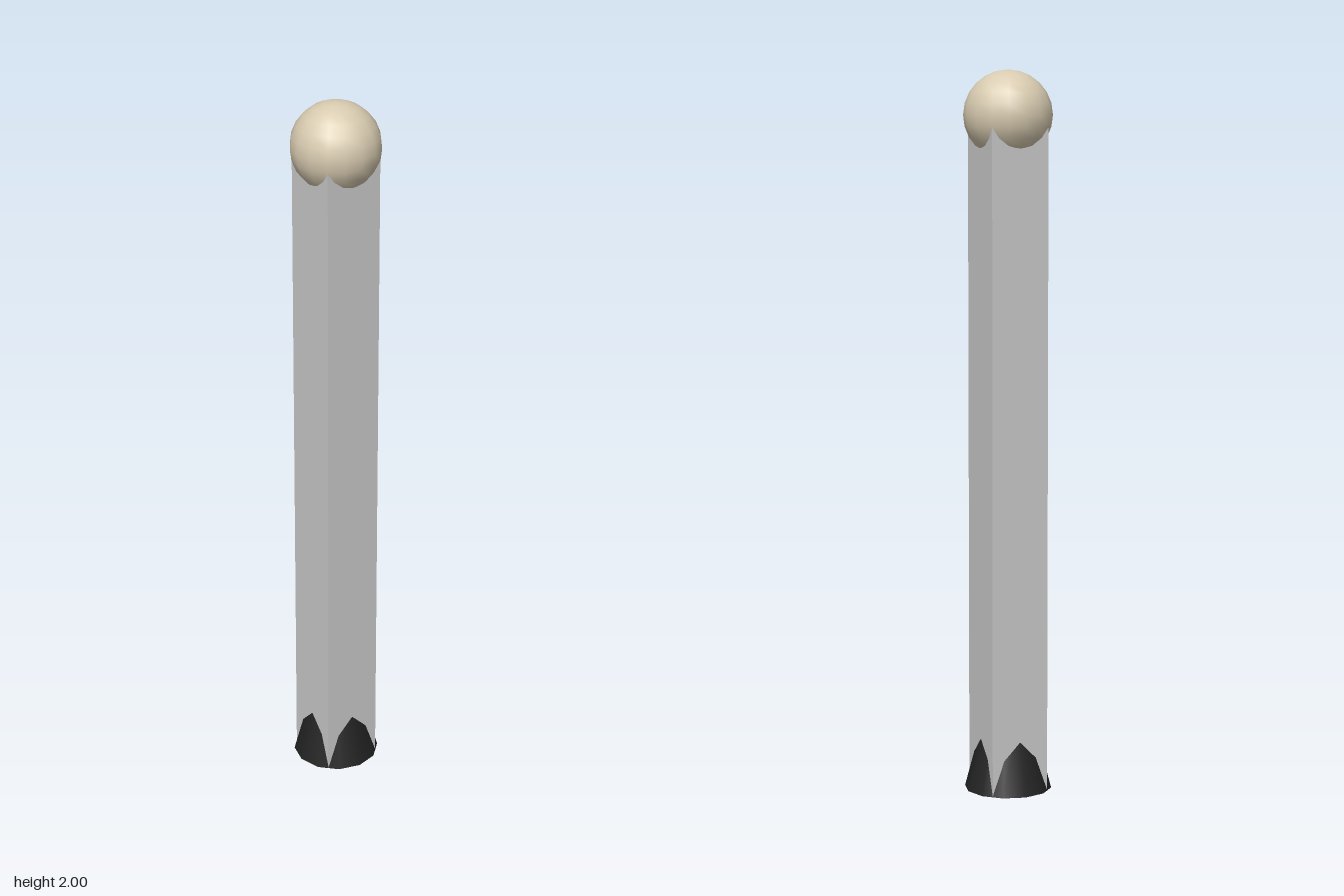
import * as THREE from 'three';

const mat = (name, color) => {
  const m = new THREE.MeshStandardMaterial({ color });
  m.name = name;
  return m;
};

export function createModel() {
  const group = new THREE.Group();
  group.name = 'post';
  const grey = mat('light grey', 0xc8c8c8);
  const black = mat('black', 0x222222);
  const beige = mat('beige', 0xd8cbb0);

  const add = (name, geometry, material, y) => {
    const mesh = new THREE.Mesh(geometry, material);
    mesh.name = name;
    mesh.position.y = y;
    group.add(mesh);
  };

  // Square shaft, its underside just above the collar's base
  const bottom = 0.002, top = 1.87, width = 0.166;
  add('shaft', new THREE.BoxGeometry(width, top - bottom, width), grey, (top + bottom) / 2);

  // Twelve-sided tapered collar whose sides emerge from the shaft faces
  add('footCollar', new THREE.CylinderGeometry(0.069, 0.122, 0.2, 12), black, 0.1);

  // Ball finial sunk onto the top of the shaft
  add('ballFinial', new THREE.SphereGeometry(0.122, 16, 12), beige, 1.878);

  return group;
}
